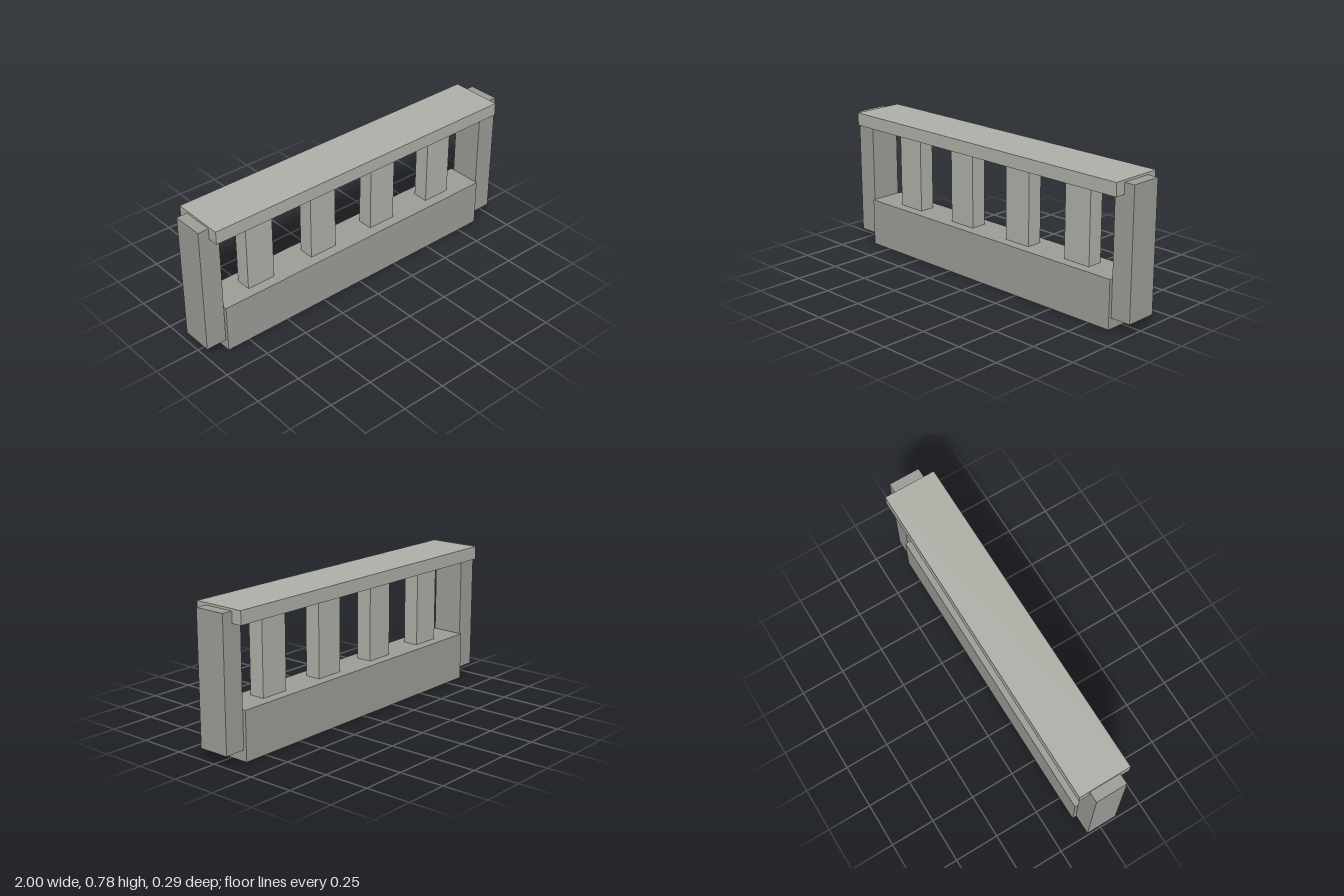
import * as THREE from 'three';

export function createModel() {
  const group = new THREE.Group();
  const light = new THREE.MeshStandardMaterial({ color: 0xadafa7 });
  const dark = new THREE.MeshStandardMaterial({ color: 0x9c9b96 });

  // Box standing from y0 to y1, centred on z = 0
  const addBox = (name, material, x, width, y0, y1, depth) => {
    const mesh = new THREE.Mesh(new THREE.BoxGeometry(width, y1 - y0, depth), material);
    mesh.position.set(x, (y0 + y1) / 2, 0);
    mesh.name = name;
    group.add(mesh);
  };

  // Low wall and handrail
  addBox('baseWall', dark, 0, 1.762, 0, 0.266, 0.204);
  addBox('topRail', light, 0, 1.88, 0.707, 0.779, 0.294);

  // End posts, slightly clear of the wall
  for (const side of [-1, 1]) {
    addBox(side > 0 ? 'leftPost' : 'rightPost', dark, side * 0.9425, 0.115, 0.06, 0.767, 0.176);
  }

  // Evenly spaced balusters
  for (let i = 0; i < 4; i++) {
    addBox(`baluster${i + 1}`, light, (i - 1.5) * 0.411, 0.164, 0.266, 0.707, 0.088);
  }
  return group;
}
